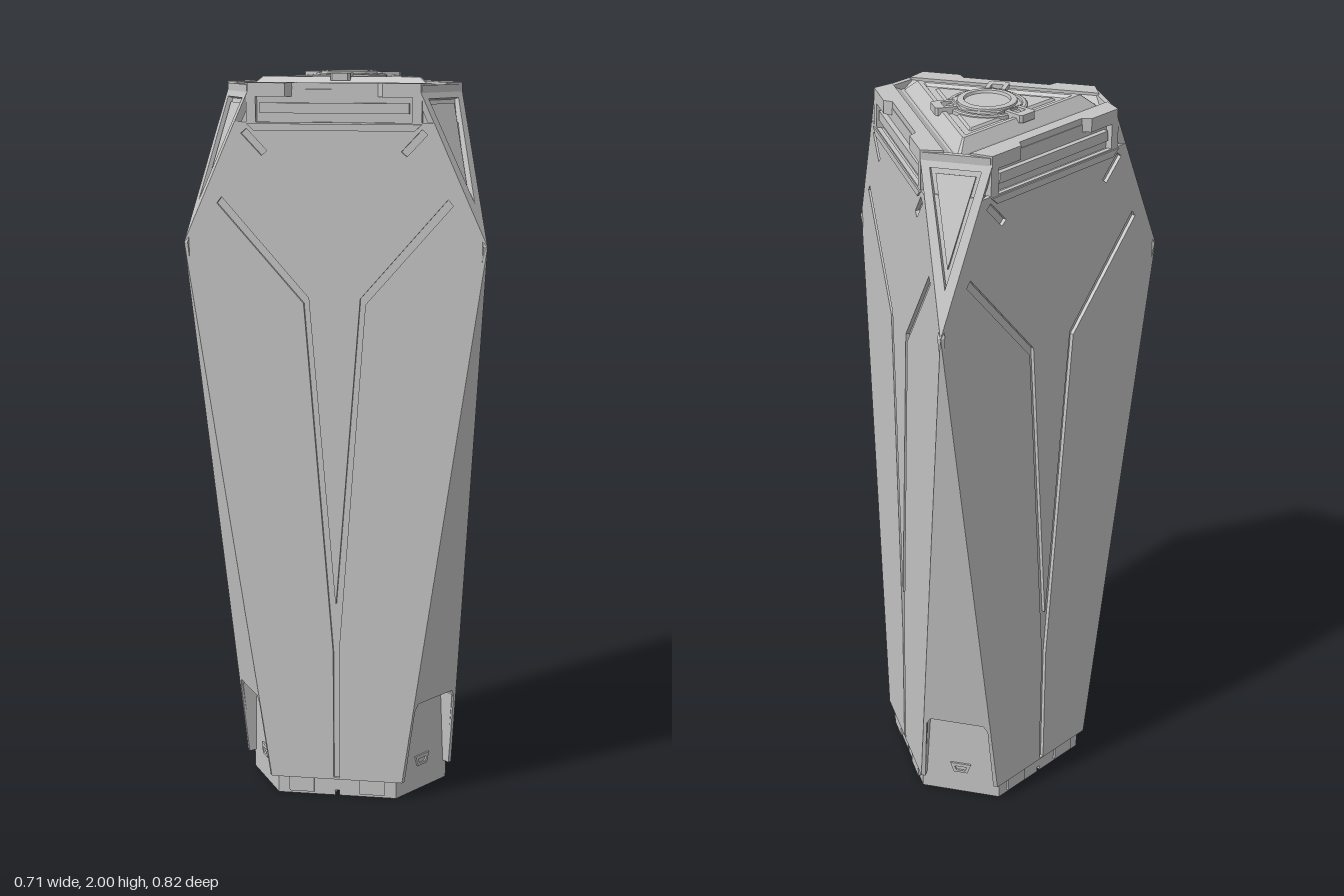
import * as THREE from 'three';
import { toCreasedNormals } from 'three/addons/utils/BufferGeometryUtils.js';

const T30 = Math.tan(Math.PI / 6);
const AP = 0.2365; // distance from the axis to each main face

const grey = new THREE.MeshStandardMaterial({ color: 0xc4c4c4 });
grey.name = 'stone grey';

function add(parent, name, geo) {
  const m = new THREE.Mesh(geo, grey);
  m.name = name;
  parent.add(m);
  return m;
}

function mirrored(half) {
  // outline from its right half, bottom to top
  return [...half, ...half.slice().reverse().map(([x, y]) => [-x, y])];
}

// flat panel whose outer surface lies at z = 0
function panel(points, depth, holes = []) {
  const v = (a) => a.map(([x, y]) => new THREE.Vector2(x, y));
  const shape = new THREE.Shape(v(points));
  holes.forEach((h) => shape.holes.push(new THREE.Path(v(h))));
  const g = new THREE.ExtrudeGeometry(shape, { depth, bevelEnabled: false });
  return g.translate(0, 0, -depth);
}

// triangle with cut corners: ap = face distance, c = corner cut distance
function cutTriangle(y, ap, c) {
  const w = (2 * ap - c) * T30;
  const pts = [];
  for (let k = 0; k < 3; k++) {
    const a = (k * 2 * Math.PI) / 3;
    for (const s of [-w, w]) {
      pts.push([c * Math.cos(a) - s * Math.sin(a), y, -(c * Math.sin(a) + s * Math.cos(a))]);
    }
  }
  return pts;
}

function loft(levels) {
  const rings = levels.map((l) => cutTriangle(...l));
  const pos = [];
  const tri = (...p) => p.forEach((q) => pos.push(...q));
  for (let j = 0; j < rings.length - 1; j++) {
    for (let i = 0; i < 6; i++) {
      const n = (i + 1) % 6, lo = rings[j], up = rings[j + 1];
      tri(lo[i], lo[n], up[n]);
      tri(lo[i], up[n], up[i]);
    }
  }
  const first = rings[0], last = rings[rings.length - 1];
  for (let i = 0; i < 6; i++) {
    const n = (i + 1) % 6;
    tri([0, levels[0][0], 0], first[n], first[i]);
    tri([0, levels[levels.length - 1][0], 0], last[i], last[n]);
  }
  const g = new THREE.BufferGeometry();
  g.setAttribute('position', new THREE.Float32BufferAttribute(pos, 3));
  g.computeVertexNormals();
  return g;
}

// put a panel on the face side (-x)
function onFace(m, r, y = 0) {
  m.rotation.y = -Math.PI / 2;
  m.position.set(-r, y, 0);
}

// put a panel on the corner side (+x), leaning by tilt
function onCorner(m, r, y, tilt = 0) {
  m.rotation.set(tilt, Math.PI / 2, 0, 'YXZ');
  m.position.set(r, y, 0);
}

function buildSide() {
  const side = new THREE.Group();
  side.name = 'side';

  // main face with a Y-shaped groove and two short diagonal grooves
  const yGroove = mirrored([[0.008, 0.055], [0.008, 0.42], [0.084, 1.39], [0.318, 1.655],
    [0.305, 1.672], [0.07, 1.405], [0.001, 0.56]]);
  const slot = (s) => [[0.18 * s, 1.795], [0.195 * s, 1.782], [0.25 * s, 1.84], [0.235 * s, 1.853]];
  const outline = mirrored([[0.185, 0.05], [0.409, 1.55], [0.267, 1.87]]);
  onFace(add(side, 'facePanel', panel(outline, 0.012, [yGroove, slot(1), slot(-1)])), AP);
  const lip = mirrored([[0.215, 1.848], [0.235, 1.866]]);
  onFace(add(side, 'faceLip', panel(lip, 0.006)), AP + 0.004);

  // bar and end lugs in the gap below the cap
  const bar = mirrored([[0.2, 1.893], [0.2, 1.92]]);
  onFace(add(side, 'gapBar', panel(bar, 0.02)), 0.232);
  for (const s of [-1, 1]) {
    const lug = add(side, 'gapLug', new THREE.BoxGeometry(0.022, 0.075, 0.025));
    lug.position.set(-0.2255, 1.903, 0.222 * s);
  }

  // notched cap plate
  const cap = [[-0.252, 0.183], [0.252, 0.183], [0.231, AP], [0.13, AP], [0.115, 0.217],
    [-0.115, 0.217], [-0.13, AP], [-0.231, AP]];
  const plate = add(side, 'capPlate', panel(cap, 0.036));
  plate.rotation.set(-Math.PI / 2, Math.PI / 2, 0, 'YXZ');
  plate.position.y = 1.972;

  // tapering lower corner facet with an arched foot opening
  const lower = mirrored([[0.1, 0], [0.1126, 0], [0.0005, 1.5126]]);
  lower.splice(5, 1, [-0.1, 0], [-0.088, 0.21], [-0.076, 0.23], [0.076, 0.23], [0.088, 0.21]);
  onCorner(add(side, 'lowerCorner', panel(lower, 0.05)), 0.278, 0.05, Math.atan(0.195 / 1.5));

  // vent frame inside the foot opening
  const vent = panel(mirrored([[0.02, 0.07], [0.03, 0.1]]), 0.006, [mirrored([[0.013, 0.077], [0.018, 0.09]])]);
  onCorner(add(side, 'footVent', vent), 0.263, 0);

  // framed triangle on the upper corner
  const lean = -Math.atan(0.155 / 0.4);
  const frame = panel([[0, 0], [0.0895, 0.429], [-0.0895, 0.429]], 0.018,
    [[[0, 0.12], [0.064, 0.41], [-0.064, 0.41]]]);
  onCorner(add(side, 'upperCornerFrame', frame), 0.473, 1.55, lean);
  const inset = add(side, 'upperCornerInset', panel([[0, 0.17], [0.05, 0.398], [-0.05, 0.398]], 0.012));
  onCorner(inset, 0.4655, 1.547, lean);
  const rail = add(side, 'cornerRail', new THREE.BoxGeometry(0.014, 0.03, 0.17));
  rail.position.set(0.312, 1.952, 0);

  // one third of the plinth, leaving seams towards the face centres
  const ap = 0.2265, c = 0.258, w = (2 * ap - c) * T30;
  const mid = [ap * 0.5 + 0.005, ap * 0.866 - 0.003];
  const foot = add(side, 'plinth', panel(
    [[0.012, 0], [mid[0], -mid[1]], [c, -w], [c, w], mid], 0.05));
  foot.rotation.x = -Math.PI / 2;
  foot.position.y = 0.05;
  for (const s of [-1, 1]) {
    const pad = add(side, 'plinthPad', new THREE.BoxGeometry(0.01, 0.042, 0.07));
    pad.position.set(-0.2275, 0.029, 0.1 * s);
  }

  // square clip holding the top ring
  const clip = panel(mirrored([[0.027, 0.085], [0.027, 0.136], [0.021, 0.142]]), 0.02,
    [mirrored([[0.015, 0.09], [0.015, 0.118]])]);
  const clipMesh = add(side, 'ringClip', clip);
  clipMesh.rotation.set(-Math.PI / 2, Math.PI / 2, 0, 'YXZ');
  clipMesh.position.y = 1.996;
  return side;
}

export function createModel() {
  const model = new THREE.Group();
  model.name = 'triangularPillar';
  const pillar = new THREE.Group();
  pillar.name = 'pillar';
  pillar.position.x = -0.118;
  model.add(pillar);

  // inner body, gap, gutter and stepped triangular top
  add(pillar, 'core', loft([
    [0.015, 0.2265, 0.258], [0.275, 0.2265, 0.258], [0.285, 0.2265, 0.295],
    [1.53, 0.2265, 0.45], [1.868, 0.2265, 0.335], [1.868, 0.218, 0.33],
    [1.955, 0.218, 0.304], [1.966, 0.185, 0.304], [1.95, 0.157, 0.302],
    [1.95, 0.15, 0.292], [1.955, 0.148, 0.288], [1.986, 0.125, 0.246],
    [1.986, 0.114, 0.225], [1.978, 0.108, 0.213], [1.978, 0.092, 0.181], [1.984, 0.087, 0.171],
  ]));

  for (let k = 0; k < 3; k++) {
    const side = buildSide();
    side.rotation.y = (k * 2 * Math.PI) / 3;
    pillar.add(side);
  }

  // round socket in the middle of the top
  const profile = [[0.102, 1.97], [0.102, 1.987], [0.098, 1.99], [0.09, 1.99], [0.088, 1.986], [0.078, 1.986],
    [0.076, 1.998], [0.073, 2], [0.06, 2], [0.056, 1.988], [0, 1.988]];
  const ring = new THREE.LatheGeometry(profile.map(([r, y]) => new THREE.Vector2(r, y)), 40);
  add(pillar, 'topRing', toCreasedNormals(ring, 0.5));
  const hex = add(pillar, 'topHexagon', new THREE.CylinderGeometry(0.091, 0.094, 0.02, 6).toNonIndexed());
  hex.geometry.computeVertexNormals();
  hex.position.y = 1.983;
  return model;
}
